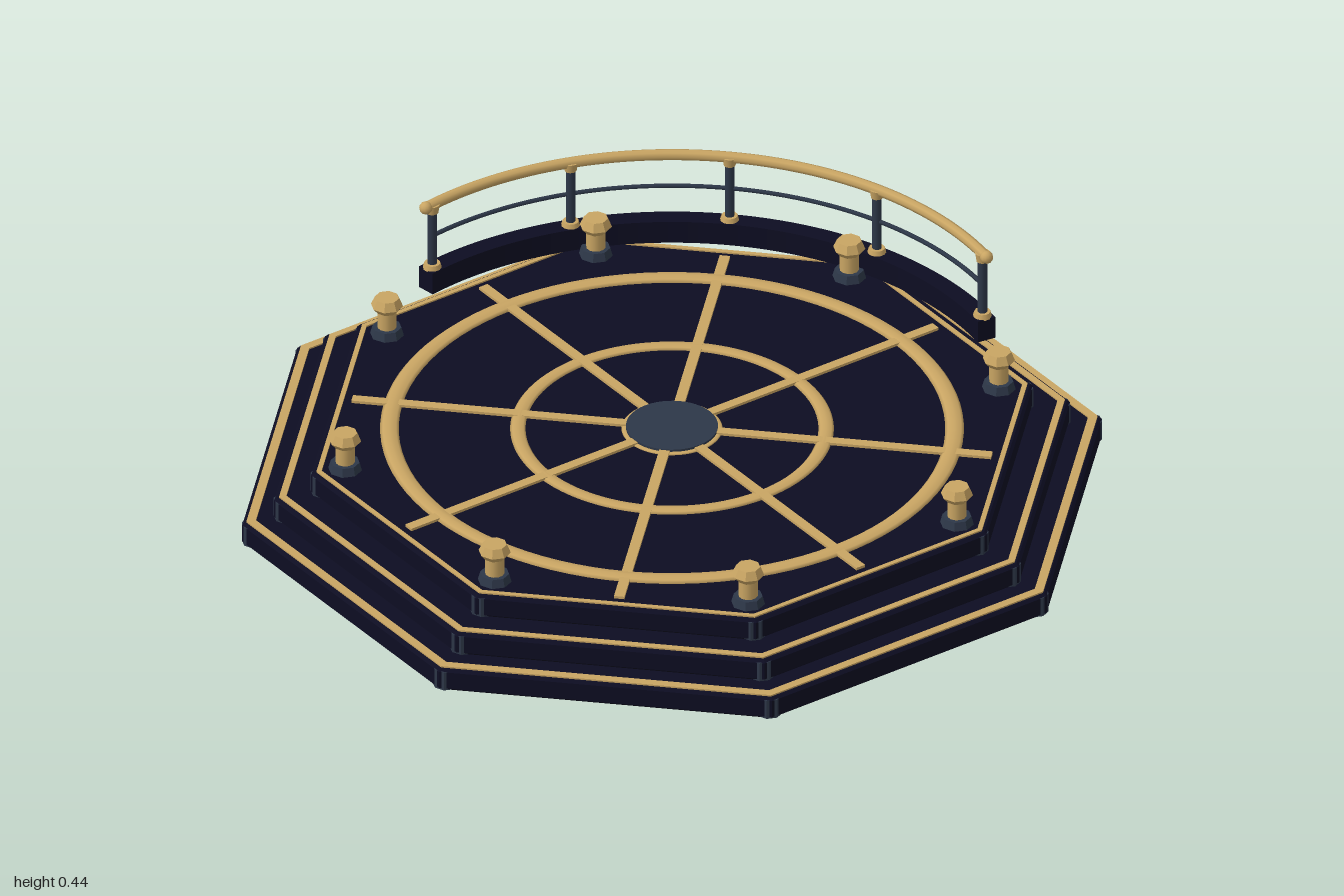
import * as THREE from 'three';

const mat = (name, color) => {
  const m = new THREE.MeshStandardMaterial({ color });
  m.name = name;
  return m;
};

export function createModel() {
  const model = new THREE.Group();
  model.name = 'octagonalPlatform';
  const navy = mat('navy', 0x0d0d22);
  const gold = mat('gold', 0xc9a563);
  const slate = mat('slate', 0x2d3748);

  const add = (name, geo, material, x = 0, y = 0, z = 0, parent = model) => {
    const mesh = new THREE.Mesh(geo, material);
    mesh.name = name;
    mesh.position.set(x, y, z);
    parent.add(mesh);
    return mesh;
  };
  const flat = (geo) => {
    const g = geo.toNonIndexed();
    g.computeVertexNormals();
    return g;
  };
  // Eight-sided turned solid; profile is [apothem, y] from bottom to top
  const K = 1 / Math.cos(Math.PI / 8);
  const octagon = (profile) => flat(
    new THREE.LatheGeometry(profile.map(([a, y]) => new THREE.Vector2(a * K, y)), 8).rotateY(Math.PI / 8));
  const cyl = (r1, r2, h, n = 8) => new THREE.CylinderGeometry(r1, r2, h, n);

  // Three stepped tiers, each with gold edge inlay and corner posts
  const tiers = [
    { a: 1.0, y: 0, outer: 0.99, inner: 0.968 },
    { a: 0.926, y: 0.06, outer: 0.914, inner: 0.897 },
    { a: 0.84, y: 0.12, outer: 0.827, inner: 0.815 },
  ];
  const h = 0.06, c = 0.007;
  tiers.forEach(({ a, y, outer, inner }, i) => {
    add(`tier${i + 1}`, octagon([
      [0, y], [a - c, y], [a, y + c], [a, y + h - c], [a - c, y + h], [0, y + h],
    ]), navy);
    const t = y + h;
    add(`tierTrim${i + 1}`, octagon([
      [inner, t - 0.002], [outer, t - 0.002], [outer, t + 0.004], [inner, t + 0.004], [inner, t - 0.002],
    ]), gold);
    for (let k = 0; k < 8; k++) {
      const ang = Math.PI / 8 + k * Math.PI / 4, r = a * K - 0.034;
      add('cornerPost', flat(cyl(0.034, 0.034, h - 0.008)), slate,
        Math.sin(ang) * r, y + h / 2 - 0.002, Math.cos(ang) * r);
    }
  });

  // Deck inlay: two rings, eight spokes and a central medallion
  const deck = 0.18;
  const ring = (name, r, tube) => add(name,
    new THREE.TorusGeometry(r, tube, 8, 96).scale(1, 1, 0.4).rotateX(Math.PI / 2), gold, 0, deck, 0);
  ring('outerRing', 0.693, 0.023);
  ring('innerRing', 0.378, 0.019);
  ring('medallionRim', 0.115, 0.009);
  for (let k = 0; k < 8; k++) {
    const spoke = add('spoke', new THREE.BoxGeometry(0.026, 0.01, 0.685).translate(0, 0, 0.4525), gold, 0, deck + 0.002, 0);
    spoke.rotation.y = k * Math.PI / 4;
  }
  add('medallion', cyl(0.113, 0.113, 0.012, 48), slate, 0, deck + 0.003, 0);

  // Bollards near the deck corners
  for (let k = 0; k < 8; k++) {
    const ang = Math.PI / 8 + k * Math.PI / 4;
    const b = new THREE.Group();
    b.name = 'bollard';
    b.position.set(Math.sin(ang) * 0.823, deck, Math.cos(ang) * 0.823);
    add('bollardBase', flat(cyl(0.036, 0.042, 0.022)), slate, 0, 0.011, 0, b);
    add('bollardColumn', cyl(0.024, 0.024, 0.06, 12), gold, 0, 0.045, 0, b);
    add('bollardCapUnder', flat(cyl(0.04, 0.027, 0.016)), gold, 0, 0.076, 0, b);
    add('bollardCap', flat(cyl(0.03, 0.04, 0.022)), gold, 0, 0.095, 0, b);
    model.add(b);
  }

  // Curved plinth along the back
  const R = 0.866, half = 0.935;
  const arc = new THREE.Shape();
  arc.absarc(0, 0, 0.89, Math.PI / 2 - half, Math.PI / 2 + half, false);
  arc.absarc(0, 0, 0.842, Math.PI / 2 + half, Math.PI / 2 - half, true);
  arc.closePath();
  add('plinth', new THREE.ExtrudeGeometry(arc, { depth: 0.06, bevelEnabled: false, curveSegments: 32 })
    .rotateX(-Math.PI / 2), navy, 0, 0.188, 0);

  // Railing: hand rail, middle rail and five posts
  const step = 0.455;
  const railPath = (y, span) => new THREE.CatmullRomCurve3(Array.from({ length: 25 }, (_, i) => {
    const t = -span + (2 * span * i) / 24;
    return new THREE.Vector3(Math.sin(t) * R, y, -Math.cos(t) * R);
  }));
  add('handRail', new THREE.TubeGeometry(railPath(0.428, half), 64, 0.014, 8), gold);
  add('middleRail', new THREE.TubeGeometry(railPath(0.338, step * 2), 64, 0.006, 6), slate);
  for (let i = -2; i <= 2; i++) {
    const x = Math.sin(i * step) * R, z = -Math.cos(i * step) * R;
    add('railPost', cyl(0.012, 0.012, 0.18, 12), slate, x, 0.335, z);
    add('postFoot', cyl(0.02, 0.024, 0.014, 12), gold, x, 0.253, z);
    add('postCollar', cyl(0.019, 0.015, 0.024, 12), gold, x, 0.418, z);
  }
  for (const s of [-1, 1]) {
    add('railEnd', new THREE.SphereGeometry(0.0165, 12, 8), gold,
      s * Math.sin(half) * R, 0.428, -Math.cos(half) * R);
  }
  return model;
}
